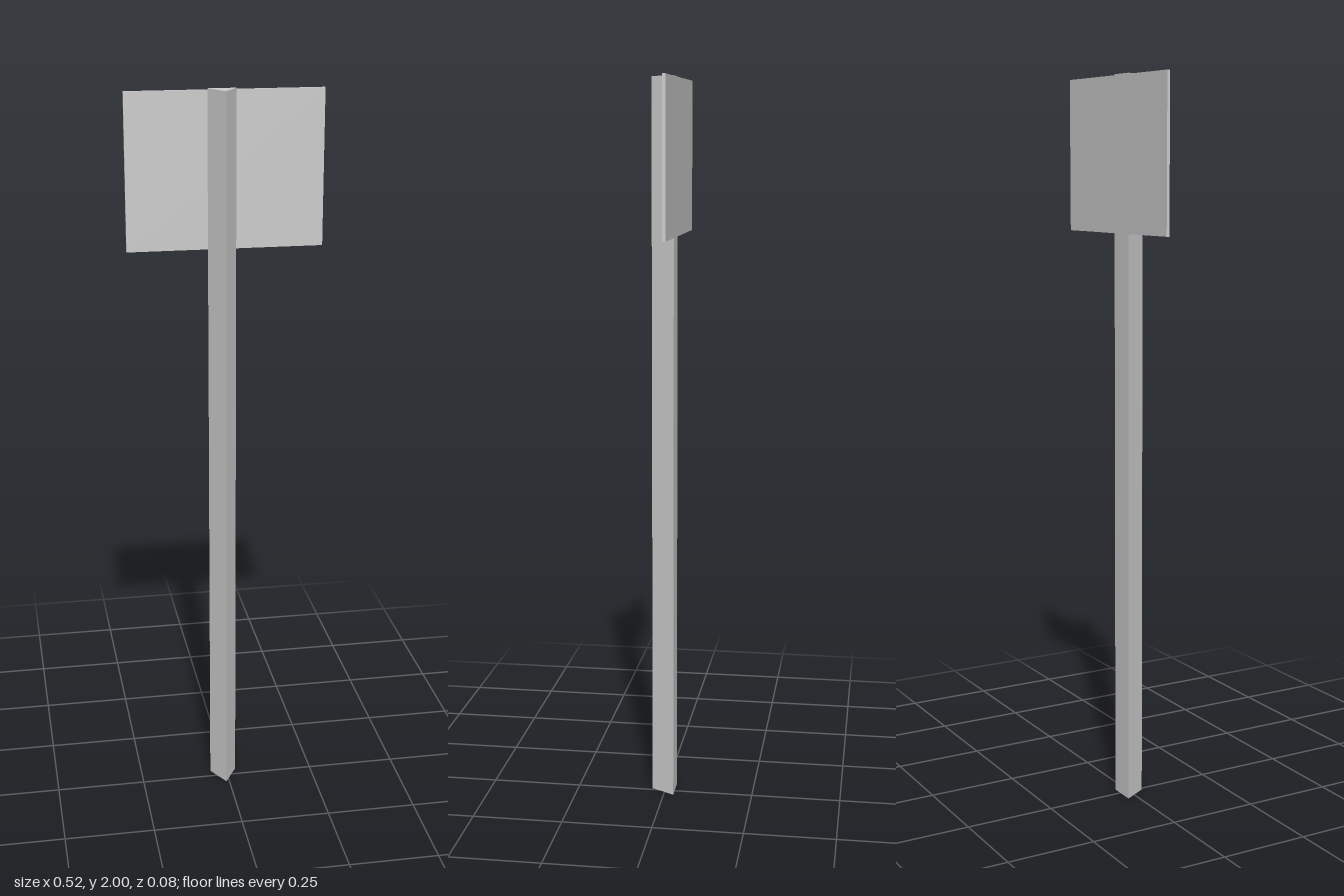
import * as THREE from 'three';

export function createModel() {
  const group = new THREE.Group();
  const material = new THREE.MeshStandardMaterial({ color: 0xcccccc, flatShading: true });

  const addPart = (name, geometry, x, y, z) => {
    const mesh = new THREE.Mesh(geometry, material);
    mesh.name = name;
    mesh.position.set(x, y, z);
    group.add(mesh);
  };

  // Three-sided post, one edge pointing to the front
  addPart('post', new THREE.CylinderGeometry(0.0435, 0.0435, 2, 3), -0.009, 1, -0.006);

  // Thin sign board just behind the post
  addPart('signBoard', new THREE.BoxGeometry(0.523, 0.412, 0.008), 0, 1.79, -0.035);

  return group;
}
